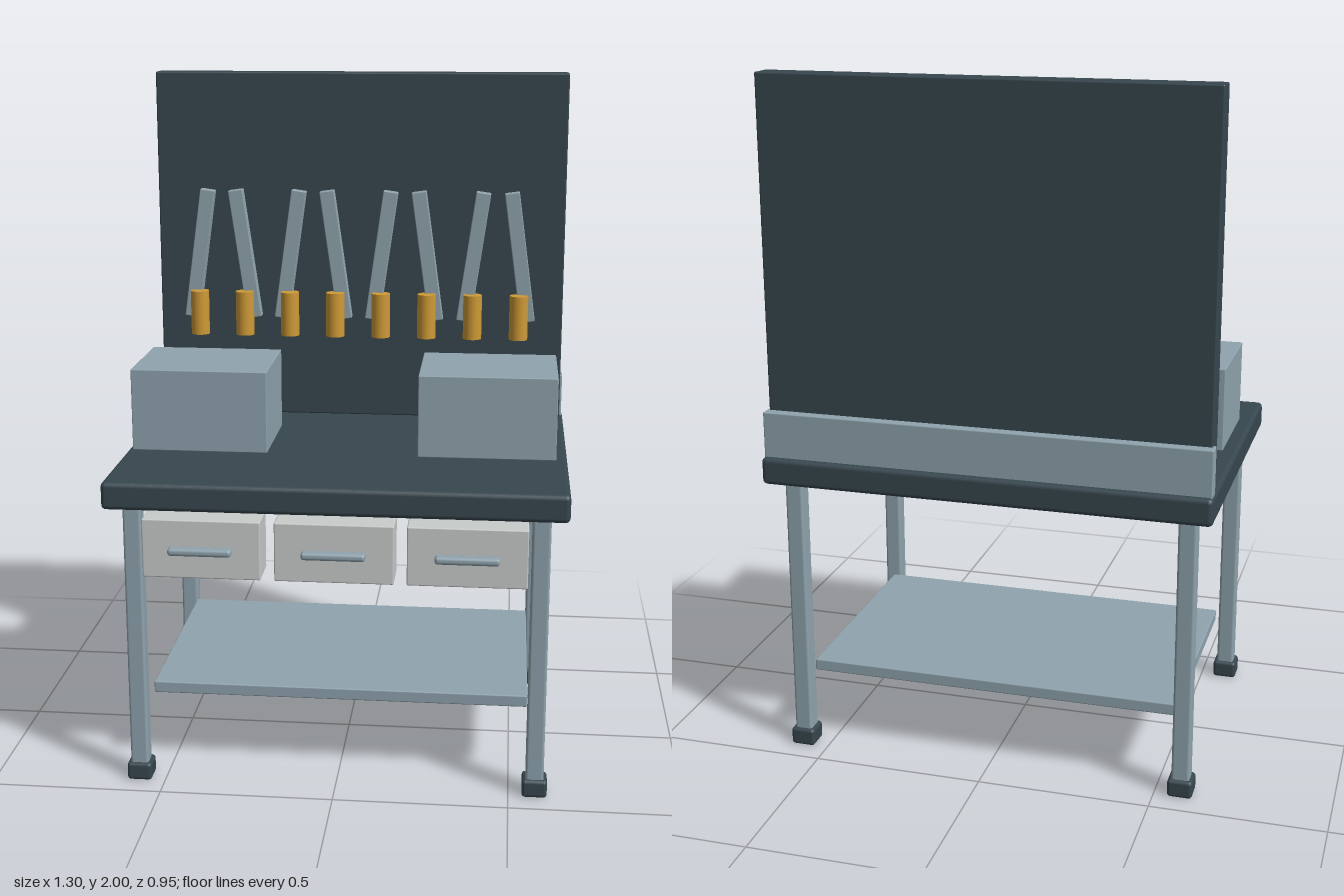
import * as THREE from 'three';
import { RoundedBoxGeometry } from 'three/addons/geometries/RoundedBoxGeometry.js';

function paint(name, color) {
  const m = new THREE.MeshStandardMaterial({ color });
  m.name = name;
  return m;
}

export function createModel() {
  const bench = new THREE.Group();
  bench.name = 'workbench';

  const slate = paint('dark slate', 0x37474f);
  const steel = paint('steel grey', 0x90a4ae);
  const paleGrey = paint('pale grey', 0xc8cccb);
  const amber = paint('amber', 0xcf9a35);

  // Softly bevelled box given by its extents on each axis
  function box(name, material, [x0, x1], [y0, y1], [z0, z1], bevel = 0.004) {
    const geometry = new RoundedBoxGeometry(x1 - x0, y1 - y0, z1 - z0, 2, bevel);
    const mesh = new THREE.Mesh(geometry, material);
    mesh.position.set((x0 + x1) / 2, (y0 + y1) / 2, (z0 + z1) / 2);
    mesh.name = name;
    bench.add(mesh);
    return mesh;
  }
  const around = (c, size) => [c - size / 2, c + size / 2];

  // Worktop, tool panel and back rail
  box('worktop', slate, [-0.65, 0.65], [0.84, 0.92], [-0.475, 0.475], 0.014);
  box('toolPanel', slate, [-0.637, 0.637], [0.92, 2], [-0.43, -0.355], 0.005);
  box('backRail', steel, [-0.645, 0.645], [0.915, 1.052], [-0.458, -0.413]);

  // Legs and feet
  for (const x of [-0.575, 0.575]) {
    for (const z of [-0.4, 0.4]) {
      box('leg', steel, around(x, 0.052), [0.045, 0.845], around(z, 0.052), 0.008);
      box('foot', slate, around(x, 0.072), [0, 0.053], around(z, 0.072), 0.01);
    }
  }

  // Lower shelf
  box('lowerShelf', steel, [-0.55, 0.55], [0.225, 0.26], [-0.375, 0.312]);

  // Drawers with pull handles
  for (const x of [-0.375, 0, 0.372]) {
    box('drawer', paleGrey, around(x, 0.336), [0.637, 0.808], [0.327, 0.445]);
    box('drawerHandle', steel, around(x, 0.18), [0.712, 0.734], [0.447, 0.48], 0.009);
  }

  // Storage boxes on the worktop
  for (const x of [-0.418, 0.416]) {
    box('storageBox', steel, around(x, 0.397), [0.94, 1.181], [-0.116, 0.202], 0.003);
  }

  // Hanging tools: blades lean alternately, grips hang upright
  const gripGeometry = new THREE.CylinderGeometry(0.029, 0.029, 0.138, 20);
  for (let i = 0; i < 8; i++) {
    const x = -0.505 + i * 0.1436;
    const blade = box('toolBlade', steel, around(x, 0.046), around(1.439, 0.406), [-0.357, -0.323], 0.003);
    blade.rotation.z = i % 2 === 0 ? -0.14 : 0.14;

    const grip = new THREE.Mesh(gripGeometry, amber);
    grip.name = 'toolGrip';
    grip.position.set(x, 1.255, -0.312);
    bench.add(grip);
  }

  return bench;
}
